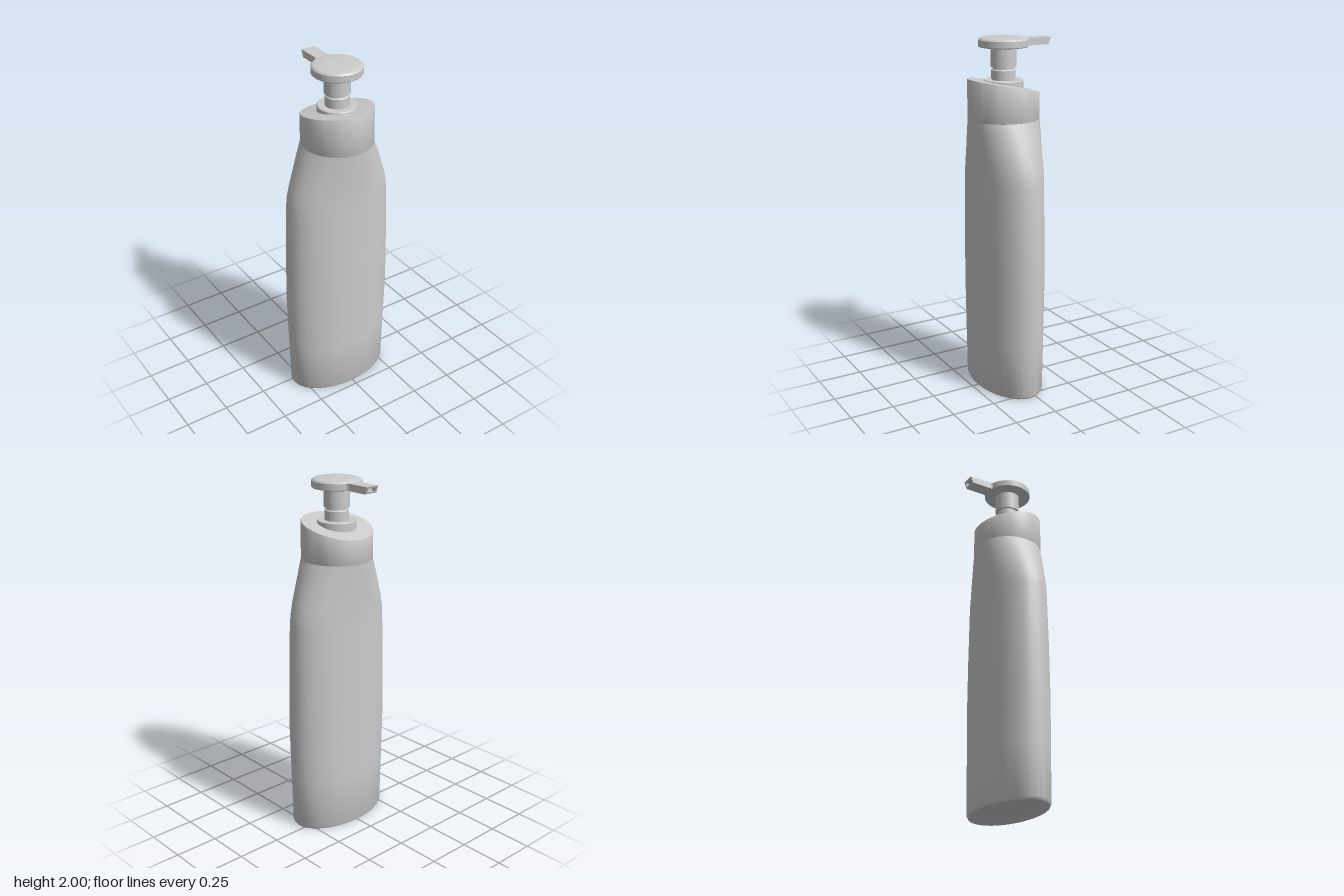
import * as THREE from 'three';
import { toCreasedNormals } from 'three/addons/utils/BufferGeometryUtils.js';

const material = new THREE.MeshStandardMaterial({ color: 0xcccccc });
const AXIS_Z = 0.038; // the bottle axis sits forward of centre, balancing the spout

function addMesh(parent, name, geometry, crease = 0.6) {
  const mesh = new THREE.Mesh(toCreasedNormals(geometry, crease), material);
  mesh.name = name;
  parent.add(mesh);
  return mesh;
}

function lathe(points, segments = 40) {
  return new THREE.LatheGeometry(points.map(([r, y]) => new THREE.Vector2(r, y)), segments);
}

// Elliptical loft: each station is [y, half width, half depth], bottom to top.
function ellipseLoft(stations, segments) {
  const geometry = lathe(stations.map(([y]) => [1, y]), segments);
  const pos = geometry.attributes.position;
  for (let i = 0; i < pos.count; i++) {
    const [, a, b] = stations[i % stations.length];
    pos.setX(i, pos.getX(i) * a);
    pos.setZ(i, pos.getZ(i) * b);
  }
  return geometry;
}

function bottle() {
  return ellipseLoft([
    [0.02, 0, 0], [0.02, 0.225, 0.125], [0.012, 0.255, 0.145], // recessed base
    [0, 0.28, 0.162], [0, 0.3, 0.174], [0.012, 0.308, 0.18],
    [0.3, 0.317, 0.181], [0.6, 0.325, 0.182], [0.9, 0.319, 0.182],
    [1.22, 0.308, 0.18], [1.27, 0.301, 0.181], [1.33, 0.286, 0.183],
    [1.4, 0.26, 0.187], [1.48, 0.23, 0.192], [1.56, 0.197, 0.196],
  ], 32);
}

// Collar with a gently convex top that slopes down toward the back
function collar() {
  const geometry = lathe([
    [0.185, 1.558], [0.195, 1.558], [0.197, 1.562], [0.196, 1.745], [0.194, 1.75],
    [0.15, 1.75], [0.1, 1.75], [0.05, 1.75], [0, 1.75],
  ]);
  const pos = geometry.attributes.position;
  for (let i = 0; i < pos.count; i++) {
    if (pos.getY(i) < 1.6) continue;
    const z = pos.getZ(i);
    const slope = 0.216 * z + 0.0095 * (1 - (z / 0.197) ** 2);
    pos.setY(i, pos.getY(i) - 0.0145 + slope);
  }
  return geometry;
}

// Spout body: plan outline with flared root, extruded upward
function spoutBody() {
  const s = new THREE.Shape();
  s.moveTo(-0.06, 0.06);
  s.lineTo(0.06, 0.06);
  s.lineTo(0.058, 0.121);
  s.quadraticCurveTo(0.04, 0.128, 0.04, 0.145);
  s.lineTo(0.04, 0.24);
  s.lineTo(-0.04, 0.24);
  s.lineTo(-0.04, 0.145);
  s.quadraticCurveTo(-0.04, 0.128, -0.058, 0.121);
  s.closePath();
  const g = new THREE.ExtrudeGeometry(s, { depth: 0.039, bevelEnabled: false, curveSegments: 5 });
  return g.rotateX(-Math.PI / 2).translate(0, 1.946, 0);
}

// Hollow spout mouth with a slanted end
function spoutMouth() {
  const rect = (path, w, y0, y1) => {
    path.moveTo(-w, y0);
    path.lineTo(w, y0);
    path.lineTo(w, y1);
    path.lineTo(-w, y1);
    path.closePath();
    return path;
  };
  const s = rect(new THREE.Shape(), 0.04, 1.946, 1.985);
  s.holes.push(rect(new THREE.Path(), 0.028, 1.955, 1.976));
  const g = new THREE.ExtrudeGeometry(s, { depth: 0.035, bevelEnabled: false });
  g.translate(0, 0, -0.275);
  const pos = g.attributes.position;
  for (let i = 0; i < pos.count; i++) {
    if (pos.getZ(i) < -0.26) pos.setZ(i, -0.275 + (1.985 - pos.getY(i)) * 0.42);
  }
  return g;
}

export function createModel() {
  const model = new THREE.Group();
  model.name = 'pumpBottle';

  const body = new THREE.Group();
  body.name = 'body';
  body.position.z = AXIS_Z;
  model.add(body);
  addMesh(body, 'bottle', bottle());
  addMesh(body, 'collar', collar());

  const pump = new THREE.Group();
  pump.name = 'pump';
  pump.position.z = AXIS_Z;
  model.add(pump);
  addMesh(pump, 'neckRing', lathe([
    [0.107, 1.69], [0.107, 1.766], [0.103, 1.77], [0, 1.77],
  ]));
  addMesh(pump, 'stem', lathe([
    [0.066, 1.76], [0.066, 1.822], [0.059, 1.828], [0.059, 1.838], [0.07, 1.838],
    [0.07, 1.95],
  ]));
  // Press head: flat disc with a stepped, slightly domed top
  addMesh(pump, 'pressHead', lathe([
    [0, 1.945], [0.132, 1.945], [0.136, 1.949], [0.136, 1.983], [0.128, 1.991],
    [0.11, 1.995], [0.07, 1.998], [0, 2],
  ], 48), 0.5);

  const spout = new THREE.Group();
  spout.name = 'spout';
  pump.add(spout);
  addMesh(spout, 'spoutBody', spoutBody());
  addMesh(spout, 'spoutMouth', spoutMouth());
  return model;
}
